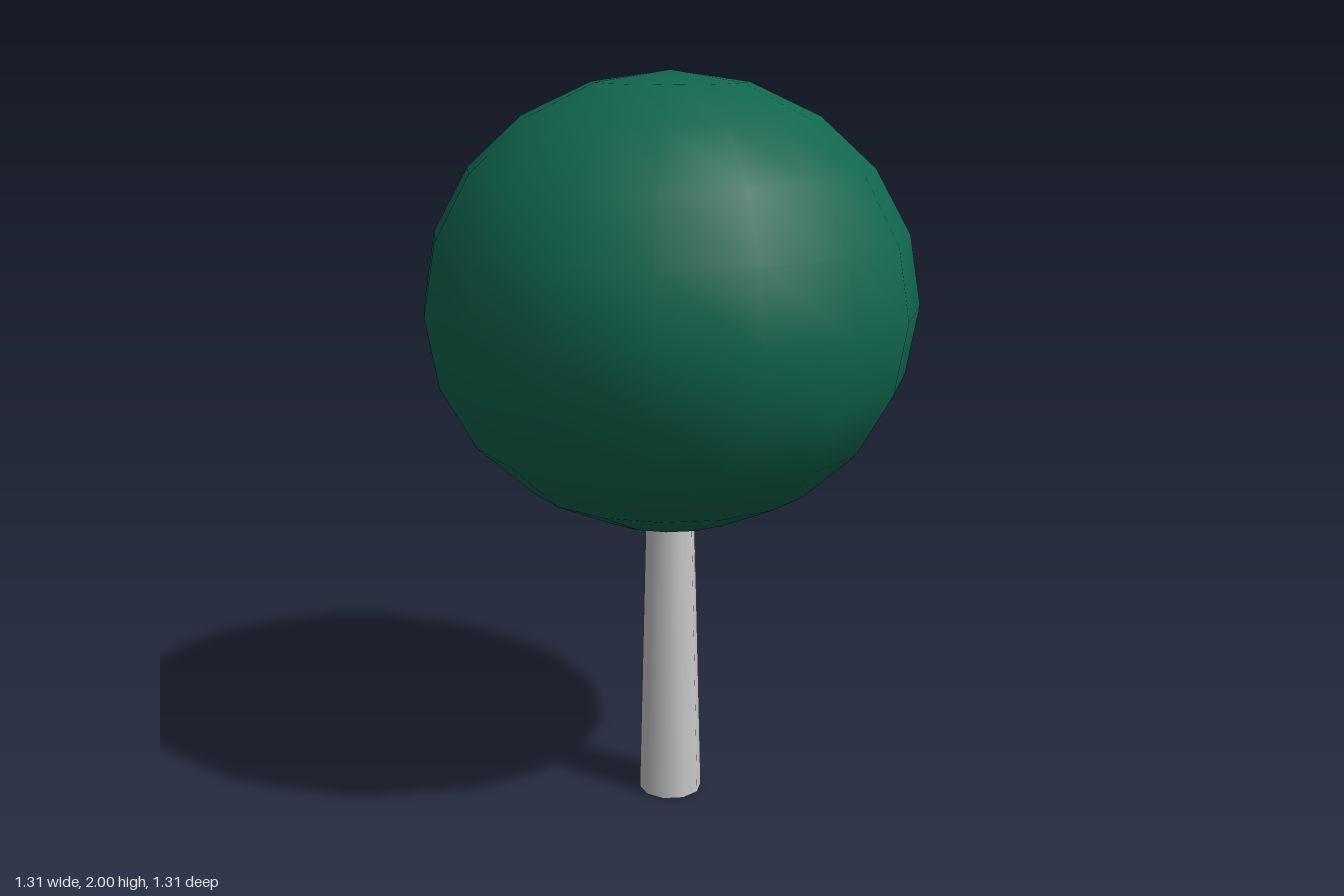
import * as THREE from 'three';

export function createModel() {
  const model = new THREE.Group();
  model.name = 'tree';

  const darkGreen = new THREE.MeshStandardMaterial({ color: 0x11664f });
  darkGreen.name = 'dark green';
  const lightGreen = new THREE.MeshStandardMaterial({ color: 0x88b472 });
  lightGreen.name = 'light green';
  const gray = new THREE.MeshStandardMaterial({ color: 0xc8c8c8, side: THREE.DoubleSide });
  gray.name = 'trunk gray';

  const add = (name, geometry, material, x, y, z) => {
    const mesh = new THREE.Mesh(geometry, material);
    mesh.name = name;
    mesh.position.set(x, y, z);
    model.add(mesh);
    return mesh;
  };

  // Tapered hollow trunk, open at the foot
  const trunkHeight = 0.84;
  const trunkGeometry = new THREE.CylinderGeometry(0.066, 0.088, trunkHeight, 10, 1, true);
  trunkGeometry.rotateY(Math.PI / 2);
  add('trunk', trunkGeometry, gray, 0, trunkHeight / 2, 0);

  // Slightly flattened ball of foliage
  const canopyGeometry = new THREE.SphereGeometry(1, 16, 10).scale(0.655, 0.6, 0.655);
  add('canopy', canopyGeometry, darkGreen, 0, 1.4, 0);

  // Smaller ball inside the canopy, its tip breaking through at the back left
  add('lightFoliage', new THREE.SphereGeometry(0.353, 20, 14), lightGreen, 0.206, 1.526, -0.192);

  return model;
}
